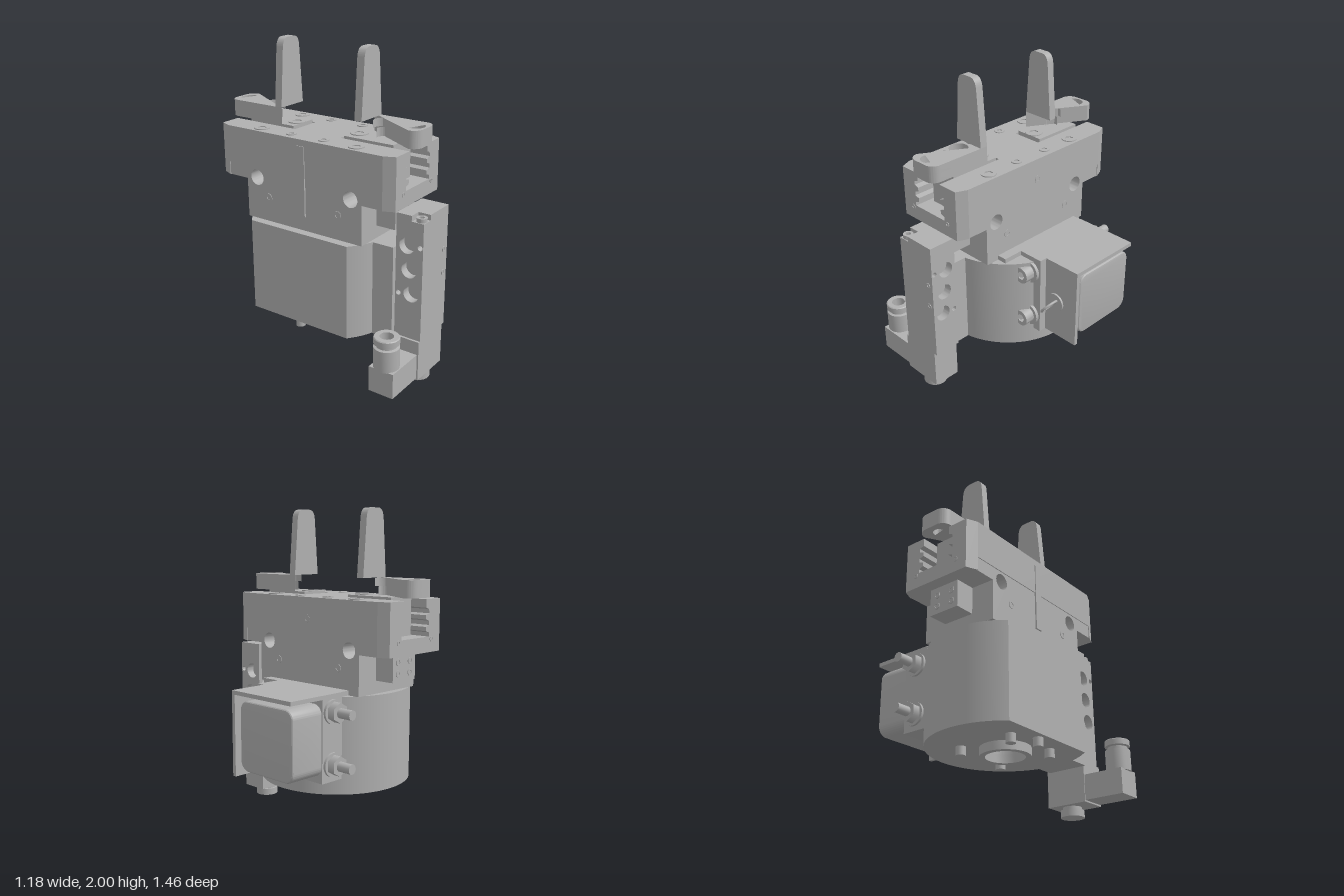
import * as THREE from 'three';
import { toCreasedNormals } from 'three/addons/utils/BufferGeometryUtils.js';

const metal = new THREE.MeshStandardMaterial({ color: 0xb0b0b0 });
metal.name = 'greyMetal';

function add(parent, name, geo, x = 0, y = 0, z = 0) {
  const m = new THREE.Mesh(geo, metal);
  m.name = name;
  m.position.set(x, y, z);
  parent.add(m);
  return m;
}
function group(parent, name, x = 0, y = 0, z = 0) {
  const g = new THREE.Group();
  g.name = name;
  g.position.set(x, y, z);
  parent.add(g);
  return g;
}
// box given by its limits on each axis
function box(p, name, x0, x1, y0, y1, z0, z1) {
  return add(p, name, new THREE.BoxGeometry(x1 - x0, y1 - y0, z1 - z0),
    (x0 + x1) / 2, (y0 + y1) / 2, (z0 + z1) / 2);
}
const poly = pts => new THREE.Shape(pts.map(p => new THREE.Vector2(p[0], p[1])));
function circle(x, y, r) {
  const h = new THREE.Path();
  h.absarc(x, y, r, 0, Math.PI * 2, true);
  return h;
}
function roundRect(x0, x1, y0, y1, r) {
  const s = new THREE.Shape();
  s.absarc(x1 - r, y1 - r, r, 0, Math.PI / 2);
  s.absarc(x0 + r, y1 - r, r, Math.PI / 2, Math.PI);
  s.absarc(x0 + r, y0 + r, r, Math.PI, Math.PI * 1.5);
  s.absarc(x1 - r, y0 + r, r, Math.PI * 1.5, Math.PI * 2);
  s.closePath();
  return s;
}
const extrude = (shape, depth, opts = {}) => toCreasedNormals(
  new THREE.ExtrudeGeometry(shape, { depth, bevelEnabled: false, curveSegments: 20, ...opts }), 0.5);
// shape in (x, -z), raised along y
const extrudeY = (shape, y0, y1) => extrude(shape, y1 - y0).rotateX(-Math.PI / 2).translate(0, y0, 0);
// shape in (z, y), running along x
const extrudeX = (shape, x0, x1, opts) => extrude(shape, x1 - x0, opts).rotateY(-Math.PI / 2).translate(x1, 0, 0);
const cyl = (r, h, n = 32) => new THREE.CylinderGeometry(r, r, h, n);

// socket screw head pointing along 'axis', with a hexagonal recess
function screw(p, name, r, h, x, y, z, axis = 'y') {
  const s = new THREE.Shape();
  s.absarc(0, 0, r, 0, Math.PI * 2);
  const hex = [];
  for (let i = 0; i < 6; i++) {
    hex.push(new THREE.Vector2(Math.cos(-i * Math.PI / 3), Math.sin(-i * Math.PI / 3)).multiplyScalar(r * 0.55));
  }
  s.holes.push(new THREE.Path(hex));
  const m = add(p, name, extrude(s, h), x, y, z);
  if (axis === 'y') m.rotation.x = -Math.PI / 2;
  if (axis === 'x') m.rotation.y = Math.PI / 2;
  if (axis === '-x') m.rotation.y = -Math.PI / 2;
  return m;
}

// one end of the gripper: slotted arm, tapered tip, slide and finger
function gripperEnd(parent, name) {
  const g = group(parent, name);
  const right = [[0.1, 1.46], [0.1, 1.41], [0.13, 1.40], [0.13, 1.375], [0.1, 1.365], [0.1, 1.34], [0.13, 1.33],
    [0.13, 1.305], [0.1, 1.295], [0.1, 1.27], [0.13, 1.26], [0.13, 1.235]];
  const slot = [...right.map(p => [-p[0], p[1]]), ...right.slice().reverse()];
  const profile = y => poly([[-0.265, 1.46], [-0.265, y], [0.265, y], [0.265, 1.46], ...slot.slice().reverse()]);
  add(g, 'slottedArm', extrude(profile(1.225), 0.4), 0, 0, 0.17);
  const tip = new THREE.ExtrudeGeometry(profile(1.14), { depth: 0.07, bevelEnabled: false });
  const pos = tip.attributes.position;
  for (let i = 0; i < pos.count; i++) {
    const x = pos.getX(i);
    if (pos.getZ(i) > 0.05 && Math.abs(x) > 0.2) pos.setX(i, x - Math.sign(x) * 0.03);
  }
  tip.computeVertexNormals();
  add(g, 'taperedTip', tip, 0, 0, 0.57);
  for (const x of [-0.155, 0.155]) screw(g, 'tipScrew', 0.016, 0.004, x, 1.22, 0.64, 'z');

  box(g, 'slide', -0.095, 0.095, 1.236, 1.475, 0.19, 0.53);
  screw(g, 'slideScrew', 0.055, 0.006, 0, 1.475, 0.235);
  box(g, 'driveBlock', -0.105, 0.105, 0.97, 1.14, 0.40, 0.56);
  for (const x of [-0.055, 0.055]) {
    for (const y of [1.02, 1.09]) screw(g, 'driveScrew', 0.022, 0.005, x, y, 0.56, 'z');
  }
  for (const x of [-0.2, 0.2]) {
    screw(g, 'coverBolt', 0.048, 0.006, x, 1.46, 0.35);
    screw(g, 'smallCoverScrew', 0.033, 0.006, x, 1.46, 0.12);
  }

  // L-shaped finger with counterbored foot
  const finger = group(g, 'finger');
  for (const [y0, y1, r] of [[1.475, 1.53, 0.037], [1.53, 1.58, 0.058]]) {
    const foot = new THREE.Shape();
    foot.moveTo(-0.105, -0.27);
    foot.absarc(-0.045, -0.63, 0.06, Math.PI, Math.PI * 1.5);
    foot.absarc(0.045, -0.63, 0.06, Math.PI * 1.5, Math.PI * 2);
    foot.lineTo(0.105, -0.27);
    foot.holes.push(circle(0, -0.4, r), circle(0, -0.615, r));
    add(finger, 'fingerFoot', extrudeY(foot, y0, y1));
  }
  const blade = new THREE.Shape();
  blade.moveTo(-0.105, 1.58);
  blade.lineTo(0.105, 1.58);
  blade.lineTo(0.078, 1.94);
  blade.quadraticCurveTo(0.072, 2, 0.025, 2);
  blade.lineTo(-0.025, 2);
  blade.quadraticCurveTo(-0.072, 2, -0.078, 1.94);
  add(finger, 'fingerBlade', extrude(blade, 0.05), 0, 0, 0.27);
  return g;
}

function gripper(root) {
  const g = group(root, 'gripper', -0.155, 0, -0.04);
  gripperEnd(g, 'frontEnd');
  gripperEnd(g, 'backEnd').rotation.y = Math.PI;
  box(g, 'upperBody', -0.265, 0.265, 1.225, 1.46, -0.17, 0.17);
  const side = poly([[-0.43, 0.89], [0.43, 0.89], [0.43, 1.14], [0.57, 1.14], [0.57, 1.225],
    [-0.57, 1.225], [-0.57, 1.14], [-0.43, 1.14]]);
  side.holes.push(circle(-0.35, 1.16, 0.05), circle(0.35, 1.16, 0.05));
  add(g, 'lowerBody', extrudeX(side, -0.26, 0.26));
  for (const [axis, x] of [['x', 0.261], ['-x', -0.261]]) {
    for (const z of [-0.26, 0.26]) screw(g, 'sideScrew', 0.026, 0.004, x, 1.045, z, axis);
    screw(g, 'sideScrew', 0.026, 0.006, x, 1.325, 0, axis);
  }
  box(g, 'sensorRail', -0.27, -0.26, 0.98, 1.42, -0.025, 0.025);

  // round base, flattened on one side, bored from below
  const a = Math.acos(-0.315 / 0.48);
  const disc = new THREE.Shape();
  disc.absarc(0, 0, 0.48, -a, a);
  disc.closePath();
  disc.holes.push(circle(0, 0, 0.12));
  add(g, 'roundBase', extrude(disc, 0.6, { curveSegments: 64 }).rotateX(-Math.PI / 2), 0, 0.29, 0);
  box(g, 'valveMount', -0.17, 0.1, 0.29, 0.89, 0.4, 0.59);
  const ring = new THREE.Shape();
  ring.absarc(0, 0, 0.155, 0, Math.PI * 2);
  ring.holes.push(circle(0, 0, 0.12));
  add(g, 'centringRing', extrudeY(ring, 0.235, 0.29));
  for (const [x, z] of [[0.185, -0.185], [0.185, 0.185], [-0.185, 0.185], [-0.185, -0.185], [-0.26, -0.03]]) {
    add(g, 'basePin', cyl(0.03, 0.06, 20), x, 0.265, z);
  }
}

function valve(root) {
  const g = group(root, 'valve');
  // three layers: blind ports on both sides, small holes right through
  for (const [x0, x1, ports] of [[-0.295, -0.24, true], [-0.24, -0.065, false], [-0.065, -0.012, true]]) {
    const s = poly([[0.55, 0.32], [0.73, 0.32], [0.73, 1.065], [0.55, 1.065]]);
    s.holes.push(circle(0.71, 0.915, 0.016), circle(0.572, 0.6, 0.016));
    if (ports) s.holes.push(circle(0.622, 0.91, 0.05), circle(0.64, 0.76, 0.05), circle(0.658, 0.61, 0.05));
    add(g, 'valveBody', extrudeX(s, x0, x1));
  }
  box(g, 'valveCap', -0.22, -0.012, 1.065, 1.1, 0.55, 0.73);
  box(g, 'valveCapStep', -0.295, -0.22, 1.065, 1.1, 0.55, 0.65);
  screw(g, 'valveScrew', 0.032, 0.025, -0.258, 1.065, 0.695);
  for (const y of [0.68, 0.83]) screw(g, 'valveFrontScrew', 0.018, 0.004, -0.05, y, 0.73, 'z');
  box(g, 'valveFoot', -0.31, -0.035, 0.065, 0.32, 0.55, 0.73);
  add(g, 'plugNeck', cyl(0.06, 0.03), -0.155, 0.055, 0.64);
  add(g, 'plug', cyl(0.075, 0.045), -0.155, 0.0225, 0.64);
  box(g, 'elbowBlock', -0.575, -0.31, 0.075, 0.235, 0.555, 0.72);
  const tube = [[0, 0.23], [0.078, 0.23], [0.078, 0.365], [0.062, 0.37], [0.062, 0.385], [0.078, 0.39],
    [0.078, 0.425], [0.073, 0.43], [0.042, 0.43], [0.042, 0.33], [0, 0.33]];
  add(g, 'hoseFitting', toCreasedNormals(new THREE.LatheGeometry(tube.map(p => new THREE.Vector2(...p)), 32), 0.5),
    -0.512, 0, 0.635);
}

function sideModule(root) {
  const g = group(root, 'sideModule');
  box(g, 'mountPlate', 0.06, 0.168, 0.39, 0.92, -0.39, 0.3);
  box(g, 'bracket', 0.165, 0.335, 0.39, 0.92, -0.395, 0.165);
  box(g, 'coverTop', 0.33, 0.587, 0.895, 0.92, -0.395, 0.115);
  box(g, 'coverFront', 0.33, 0.587, 0.39, 0.92, 0.09, 0.115);
  add(g, 'moduleBody', extrudeX(roundRect(-0.375, 0.05, 0.445, 0.85, 0.05), 0.33, 0.555,
    { bevelEnabled: true, bevelSize: 0.015, bevelThickness: 0.015, bevelSegments: 3 }));
  // clamp bolts with nuts on the back
  for (const y of [0.495, 0.815]) {
    const along = (name, geo, z) => { add(g, name, geo, 0.25, y, z).rotation.x = Math.PI / 2; };
    along('washer', cyl(0.074, 0.02), 0.175);
    screw(g, 'boltHead', 0.052, 0.065, 0.25, y, 0.185, 'z');
    along('backWasher', cyl(0.074, 0.016), -0.402);
    along('nut', cyl(0.062, 0.05, 6).toNonIndexed(), -0.435);
    along('stud', cyl(0.03, 0.1, 20), -0.505);
  }
  // quarter-turn fastener with its wire ring
  add(g, 'fastenerDisc', cyl(0.06, 0.015), 0.425, 0.64, 0.12).rotation.x = Math.PI / 2;
  const loop = add(g, 'fastenerRing', new THREE.TorusGeometry(0.055, 0.008, 10, 36), 0.425, 0.64, 0.18);
  loop.rotation.order = 'ZYX';
  loop.rotation.set(0, Math.PI / 2, -0.67);
}

export function createModel() {
  const root = new THREE.Group();
  root.name = 'pneumaticGripper';
  gripper(root);
  valve(root);
  sideModule(root);
  return root;
}
